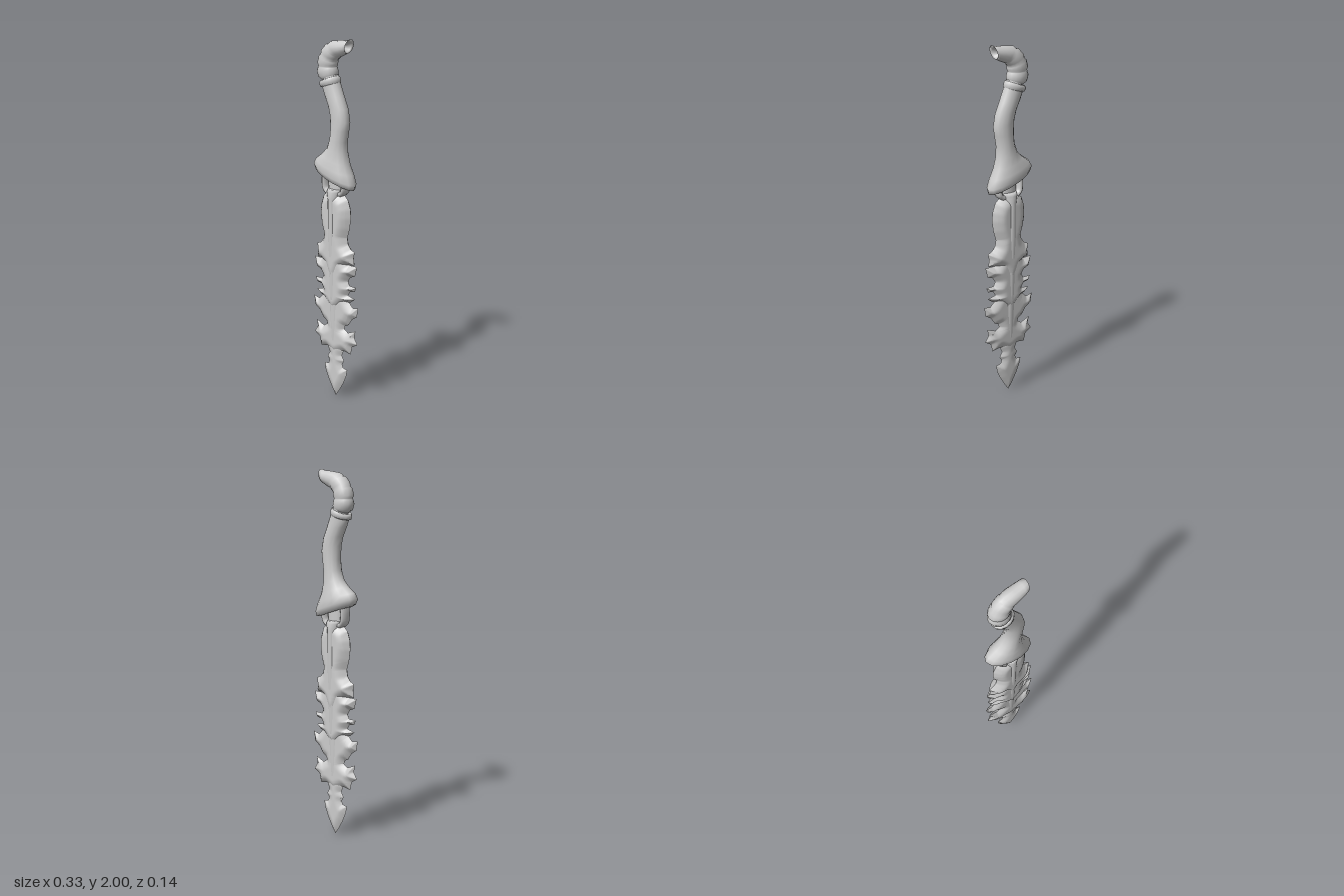
import * as THREE from 'three';
import { mergeVertices, mergeGeometries } from 'three/addons/utils/BufferGeometryUtils.js';

const material = new THREE.MeshStandardMaterial({ color: 0xcccccc, roughness: 0.7 });

function addMesh(parent, name, geometry) {
  const mesh = new THREE.Mesh(geometry, material);
  mesh.name = name;
  parent.add(mesh);
  return mesh;
}

// Skin over elliptical rings; each section is [leftX, leftY, rightX, rightY, halfDepth], bottom to top
function loft(sections, sides = 14) {
  const pos = [], index = [];
  for (const [lx, ly, rx, ry, d] of sections) {
    for (let j = 0; j < sides; j++) {
      const a = (j / sides) * Math.PI * 2, c = Math.cos(a) / 2;
      pos.push((lx + rx) / 2 + (rx - lx) * c, (ly + ry) / 2 + (ry - ly) * c, Math.sin(a) * d);
    }
  }
  for (let i = 0; i < sections.length - 1; i++) {
    for (let j = 0; j < sides; j++) {
      const a = i * sides + j, b = i * sides + ((j + 1) % sides);
      index.push(a, a + sides, b, b, a + sides, b + sides);
    }
  }
  const g = new THREE.BufferGeometry();
  g.setAttribute('position', new THREE.Float32BufferAttribute(pos, 3));
  g.setIndex(index);
  g.computeVertexNormals();
  return g;
}

// Symmetric loft from [y, halfWidth, halfDepth]
const bar = (rows) => loft(rows.map(([y, w, d]) => [-w, y, w, y, d]));

// Split every triangle of a flat point list into four
function subdivide(tris) {
  const out = [];
  for (let i = 0; i < tris.length; i += 3) {
    const [a, b, c] = tris.slice(i, i + 3);
    const ab = a.clone().lerp(b, 0.5), bc = b.clone().lerp(c, 0.5), ca = c.clone().lerp(a, 0.5);
    out.push(a, ab, ca, ab, b, bc, ca, bc, c, ab, bc, ca);
  }
  return out;
}

// Plate mirrored in x that swells from a sharp rim to its full thickness
function plate(half, thickness, reach) {
  const right = half.map(([x, y]) => new THREE.Vector2(x, y));
  const left = right.slice(1, -1).reverse().map((p) => new THREE.Vector2(-p.x, p.y));
  const outline = [...right, ...left];
  const flat = new THREE.ShapeGeometry(new THREE.Shape(outline)).toNonIndexed().getAttribute('position');
  let tris = [];
  for (let i = 0; i < flat.count; i++) tris.push(new THREE.Vector3().fromBufferAttribute(flat, i));
  for (let i = 0; i < 4; i++) tris = subdivide(tris);

  const rimDistance = (p) => {
    let best = Infinity;
    outline.forEach((a, i) => {
      const b = outline[(i + 1) % outline.length];
      const ex = b.x - a.x, ey = b.y - a.y;
      const t = THREE.MathUtils.clamp(((p.x - a.x) * ex + (p.y - a.y) * ey) / (ex * ex + ey * ey), 0, 1);
      best = Math.min(best, Math.hypot(p.x - a.x - ex * t, p.y - a.y - ey * t));
    });
    return best;
  };
  for (const p of tris) p.z = thickness * Math.sin(Math.min(rimDistance(p) / reach, 1) * Math.PI / 2);

  const side = (points) => {
    const g = mergeVertices(new THREE.BufferGeometry().setFromPoints(points), 1e-5);
    g.computeVertexNormals();
    return g;
  };
  const back = [];
  for (let i = 0; i < tris.length; i += 3) {
    for (const k of [0, 2, 1]) back.push(tris[i + k].clone().setZ(-tris[i + k].z));
  }
  return mergeGeometries([side(tris), side(back)]);
}

export function createModel() {
  const model = new THREE.Group();
  model.name = 'dagger';

  // Flared guard flowing into the curved grip
  addMesh(model, 'guardAndGrip', loft([
    [-0.03, 1.265, 0.0, 1.255, 0.01], [-0.11, 1.283, 0.1, 1.213, 0.045],
    [-0.138, 1.3, 0.128, 1.208, 0.06], [-0.148, 1.33, 0.134, 1.235, 0.071],
    [-0.13, 1.357, 0.115, 1.285, 0.069], [-0.085, 1.387, 0.09, 1.335, 0.06],
    [-0.05, 1.42, 0.073, 1.4, 0.052], [-0.03, 1.47, 0.071, 1.46, 0.048],
    [-0.026, 1.53, 0.082, 1.52, 0.046], [-0.03, 1.6, 0.09, 1.565, 0.046],
    [-0.045, 1.65, 0.078, 1.635, 0.045], [-0.07, 1.7, 0.052, 1.695, 0.044],
    [-0.086, 1.74, 0.025, 1.76, 0.044], [-0.08, 1.78, 0.005, 1.81, 0.043],
  ]));

  // Raised band between grip and pommel
  addMesh(model, 'gripRing', loft([
    [-0.08, 1.737, 0.018, 1.767, 0.042], [-0.098, 1.738, 0.022, 1.772, 0.051],
    [-0.103, 1.753, 0.021, 1.788, 0.053], [-0.098, 1.767, 0.014, 1.802, 0.051],
    [-0.08, 1.77, 0.003, 1.804, 0.042],
  ]));

  // Hooked pommel of overlapping rolls, hollowed at its end
  addMesh(model, 'pommel', loft([
    [-0.085, 1.775, 0.0, 1.805, 0.042], [-0.11, 1.79, 0.005, 1.815, 0.05],
    [-0.12, 1.822, 0.002, 1.833, 0.052], [-0.114, 1.845, -0.002, 1.845, 0.047],
    [-0.111, 1.852, -0.005, 1.849, 0.045], [-0.118, 1.868, 0.0, 1.856, 0.05],
    [-0.106, 1.906, 0.002, 1.87, 0.05], [-0.095, 1.915, 0.0, 1.875, 0.045],
    [-0.09, 1.935, 0.008, 1.886, 0.047], [-0.06, 1.966, 0.02, 1.896, 0.047],
    [-0.048, 1.967, 0.022, 1.9, 0.042], [-0.03, 1.982, 0.038, 1.905, 0.044],
    [0.03, 1.99, 0.06, 1.915, 0.041], [0.075, 1.992, 0.075, 1.923, 0.037],
    [0.102, 2.0, 0.082, 1.925, 0.034], [0.088, 1.987, 0.075, 1.933, 0.028],
    [0.058, 1.968, 0.055, 1.945, 0.01], [0.056, 1.957, 0.056, 1.957, 0],
  ]));

  // Tang and claw-like prongs joining guard and blade
  addMesh(model, 'tang', bar([[1.1, 0.045, 0.026], [1.29, 0.05, 0.026]]));
  for (const s of [-1, 1]) {
    const path = new THREE.CatmullRomCurve3([
      [0.064, 1.3], [0.07, 1.24], [0.064, 1.195], [0.042, 1.175],
    ].map(([x, y]) => new THREE.Vector3(s * x, y, 0)));
    const prong = addMesh(model, s > 0 ? 'leftProng' : 'rightProng', new THREE.TubeGeometry(path, 12, 0.016, 8));
    prong.scale.z = 2.2;
  }

  // Blade plates, top to tip, each tucked under the one above
  addMesh(model, 'upperPlate', plate([
    [0, 1.2], [0.05, 1.185], [0.088, 1.15], [0.106, 1.1], [0.109, 1.05], [0.1, 0.99], [0.084, 0.94],
    [0.09, 0.905], [0.11, 0.88], [0.137, 0.868], [0.13, 0.835], [0.135, 0.795],
    [0.1, 0.79], [0.07, 0.77], [0.04, 0.7], [0, 0.66],
  ], 0.046, 0.06));
  addMesh(model, 'middlePlate', plate([
    [0, 0.95], [0.06, 0.85], [0.1, 0.79], [0.155, 0.79], [0.14, 0.735], [0.108, 0.722],
    [0.09, 0.695], [0.102, 0.672], [0.15, 0.672], [0.138, 0.645], [0.105, 0.64],
    [0.09, 0.615], [0.14, 0.603], [0.11, 0.58], [0.08, 0.57], [0.04, 0.53], [0, 0.5],
  ], 0.038, 0.055));
  addMesh(model, 'lowerPlate', plate([
    [0, 0.72], [0.06, 0.63], [0.1, 0.575], [0.125, 0.55], [0.165, 0.56], [0.155, 0.505],
    [0.12, 0.482], [0.095, 0.445], [0.07, 0.432], [0.064, 0.413], [0.09, 0.397], [0.145, 0.42],
    [0.137, 0.38], [0.16, 0.345], [0.122, 0.322], [0.11, 0.275], [0.06, 0.283], [0, 0.25],
  ], 0.026, 0.05));
  addMesh(model, 'tipPlate', plate([
    [0, 0.4], [0.05, 0.35], [0.058, 0.28], [0.045, 0.25], [0.062, 0.222], [0.047, 0.2],
    [0.055, 0.18], [0.086, 0.175], [0.078, 0.135], [0.055, 0.085], [0.025, 0.035], [0, 0],
  ], 0.019, 0.045));

  // Raised spine on both faces
  addMesh(model, 'spine', bar([
    [0.545, 0.002, 0.03], [0.555, 0.024, 0.038], [0.6, 0.032, 0.04], [0.8, 0.035, 0.046],
    [0.95, 0.036, 0.053], [1.15, 0.036, 0.054], [1.185, 0.046, 0.053], [1.2, 0.042, 0.045], [1.2, 0, 0],
  ]));
  addMesh(model, 'lowerSpine', bar([
    [0.27, 0.002, 0.01], [0.29, 0.014, 0.022], [0.34, 0.026, 0.027], [0.45, 0.034, 0.03], [0.6, 0.036, 0.034],
  ]));

  return model;
}
